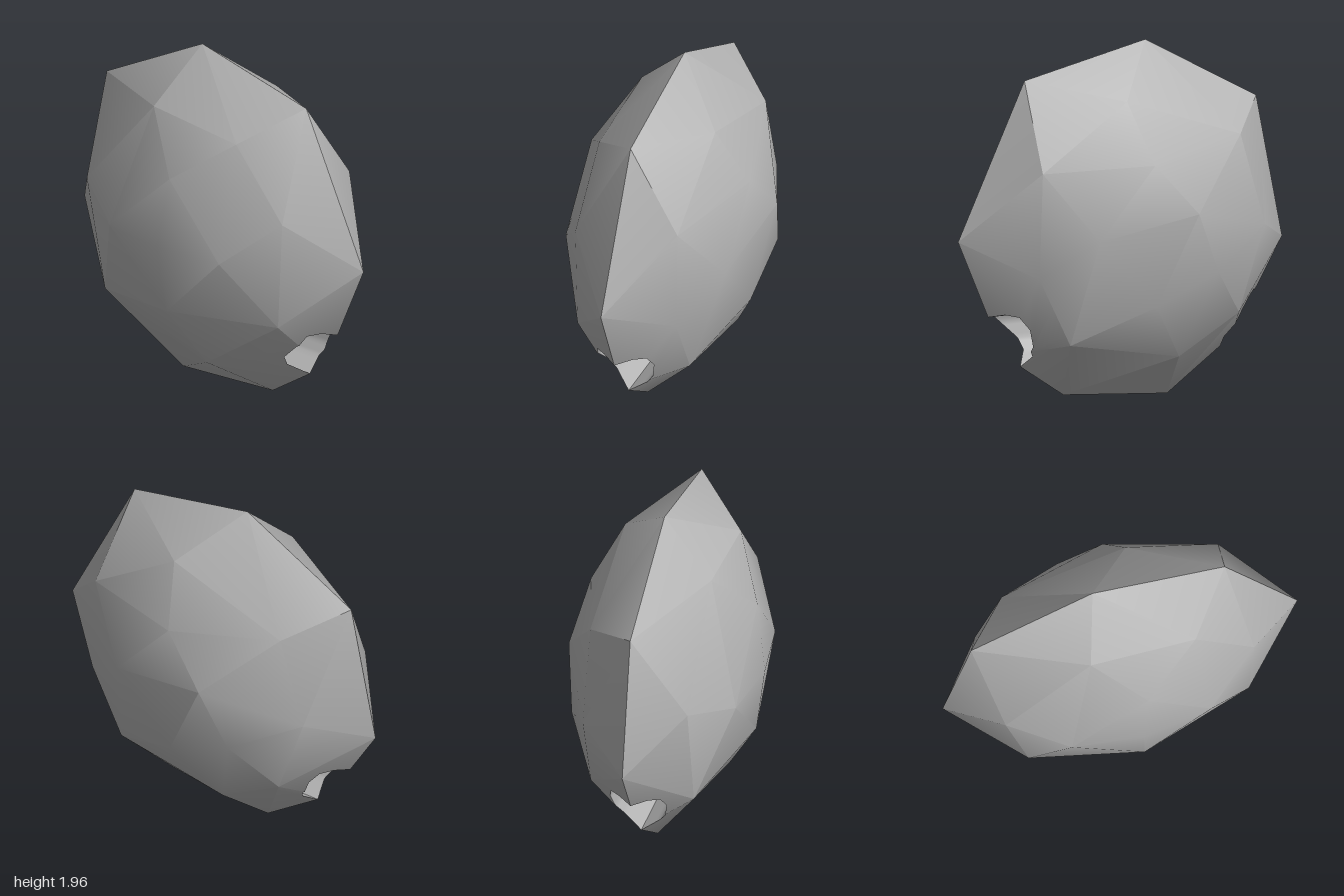
import * as THREE from 'three';
import { ConvexGeometry } from 'three/addons/geometries/ConvexGeometry.js';
import { toCreasedNormals } from 'three/addons/utils/BufferGeometryUtils.js';

// Facet corners as [y, z] rings, each at a fixed x
const RINGS = [
  [0, [[0.95, 1], [1.8, 0.59], [1.96, -0.155], [1.59, -0.84], [0.8, -1], [0.28, -0.69], [0, -0.29], [0.05, 0.35], [0.3, 0.72]]],
  [0.297, [[0.76, 0.66], [1.34, 0.64], [1.69, 0.12], [1.45, -0.58], [0.94, -0.73], [0.47, -0.57], [0.26, -0.2], [0.38, 0.47]]],
  [0.467, [[0.97, 0.38], [1.36, 0.04], [0.74, -0.35], [0.58, 0.03]]],
  [0.525, [[1.08, -0.2]]],
  [-0.29, [[1.23, 0.67], [1.61, 0.34], [1.66, -0.25], [1.09, -0.73], [0.47, -0.6], [0.25, 0.13], [0.61, 0.64]]],
  [-0.472, [[0.97, 0.375], [1.37, 0.02], [0.97, -0.41], [0.58, 0]]],
  [-0.525, [[0.97, -0.02]]],
];

// Right and left halves of the heart-shaped hole, both counter-clockwise
const HALF = [[0, 0.23], [0.1, 0.3], [0.14, 0.36], [0.16, 0.46], [0.14, 0.53], [0.08, 0.54], [0, 0.52]];
const MIRROR = HALF.map(([x, y]) => [-x, y]).reverse();

// Splits a polygon by the line a-b into its inner (left) and outer parts
function split(poly, a, b) {
  const side = (p) => (b[0] - a[0]) * (p[1] - a[1]) - (b[1] - a[1]) * (p[0] - a[0]);
  const inner = [], outer = [];
  poly.forEach((p, i) => {
    const q = poly[(i + 1) % poly.length], sp = side(p), sq = side(q);
    if (sp >= 0) inner.push(p);
    if (sp <= 0) outer.push(p);
    if (sp * sq < 0) {
      const t = sp / (sp - sq), m = p.map((v, k) => v + (q[k] - v) * t);
      inner.push(m);
      outer.push(m);
    }
  });
  return [inner, outer];
}

// Removes a convex outline from a polygon
function subtract(poly, outline) {
  const pieces = [];
  let rest = poly;
  for (let i = 0; i < outline.length; i++) {
    const [inner, outer] = split(rest, outline[i], outline[(i + 1) % outline.length]);
    if (inner.length < 3) return [poly];
    if (outer.length > 2) pieces.push(outer);
    rest = inner;
  }
  return pieces;
}

function toGeometry(positions, normals) {
  const g = new THREE.BufferGeometry();
  g.setAttribute('position', new THREE.Float32BufferAttribute(positions, 3));
  if (normals) g.setAttribute('normal', new THREE.Float32BufferAttribute(normals, 3));
  else g.computeVertexNormals();
  return g;
}

export function createModel() {
  const group = new THREE.Group();
  group.name = 'facetedBead';
  const stone = new THREE.MeshStandardMaterial({ color: 0xb4b4b4 });
  stone.name = 'grey stone';

  // Faceted lens body, softly creased
  const points = RINGS.flatMap(([x, ring]) => ring.map(([y, z]) => new THREE.Vector3(x, y, z)));
  const hull = toCreasedNormals(new ConvexGeometry(points), 0.5);
  const pos = hull.attributes.position, nor = hull.attributes.normal;
  const planes = [], positions = [], normals = [];
  const corner = (i) => new THREE.Vector3().fromBufferAttribute(pos, i);
  for (let i = 0; i < pos.count; i += 3) {
    planes.push(new THREE.Plane().setFromCoplanarPoints(corner(i), corner(i + 1), corner(i + 2)));
    const tri = [i, i + 1, i + 2].map((k) => [
      pos.getX(k), pos.getY(k), pos.getZ(k), nor.getX(k), nor.getY(k), nor.getZ(k)]);
    // Cut the hole out of every facet it crosses
    const pieces = subtract(tri, HALF).flatMap((p) => subtract(p, MIRROR));
    for (const p of pieces) {
      for (let k = 1; k < p.length - 1; k++) {
        for (const v of [p[0], p[k], p[k + 1]]) {
          positions.push(...v.slice(0, 3));
          normals.push(...v.slice(3));
        }
      }
    }
  }
  const body = new THREE.Mesh(toGeometry(positions, normals), stone);
  body.name = 'facetedBody';
  group.add(body);

  // Depth of the body surface at x, y on the front (s = 1) or back (s = -1)
  const depth = (x, y, s) => s * Math.min(...planes.filter((p) => p.normal.z * s > 1e-4)
    .map((p) => (-p.constant - p.normal.x * x - p.normal.y * y) / (p.normal.z * s)));

  // Tunnel walls running from the front rim to the back rim, facing inwards
  const rim = [...HALF, ...MIRROR.slice(1, -1)];
  const wall = [];
  const STEPS = 4;
  rim.forEach((a, i) => {
    const b = rim[(i + 1) % rim.length];
    for (let k = 0; k < STEPS; k++) {
      const [p, q] = [k / STEPS, (k + 1) / STEPS].map((t) => [a[0] + (b[0] - a[0]) * t, a[1] + (b[1] - a[1]) * t]);
      const pf = [...p, depth(...p, 1)], pb = [...p, depth(...p, -1)];
      const qf = [...q, depth(...q, 1)], qb = [...q, depth(...q, -1)];
      wall.push(...pf, ...qf, ...pb, ...qf, ...qb, ...pb);
    }
  });
  const tunnel = new THREE.Mesh(toCreasedNormals(toGeometry(wall), 1.2), stone);
  tunnel.name = 'threadingHole';
  group.add(tunnel);

  return group;
}
